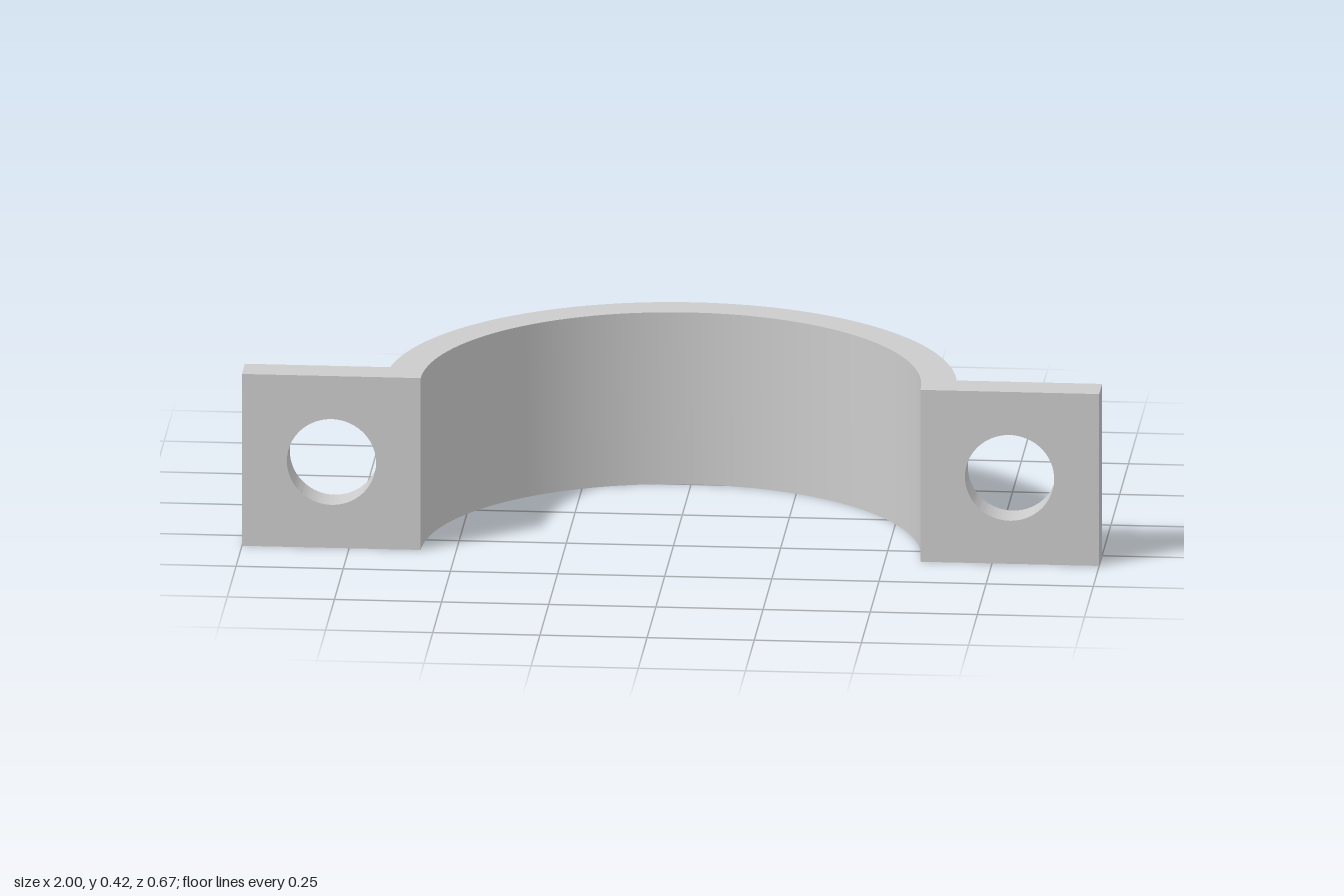
import * as THREE from 'three';
import { toCreasedNormals } from 'three/addons/utils/BufferGeometryUtils.js';

const HEIGHT = 0.417;
const THICK = 0.083;
const FRONT = 0.333;              // z of the flat mounting face
const R_OUT = 0.666;
const R_IN = R_OUT - THICK;
const JOIN = Math.sqrt(R_OUT ** 2 - THICK ** 2); // x where the band meets a tab

const material = new THREE.MeshStandardMaterial({ color: 0xcccccc });

function extrude(shape, depth) {
  const geometry = new THREE.ExtrudeGeometry(shape, { depth, bevelEnabled: false, curveSegments: 64 });
  return toCreasedNormals(geometry, 0.5);
}

// Half-ring band, squared off at its feet where the tabs attach
function createBand() {
  const start = Math.asin(THICK / R_OUT);
  const shape = new THREE.Shape();
  shape.moveTo(R_IN, 0);
  shape.lineTo(JOIN, 0);
  shape.lineTo(JOIN, THICK);
  shape.absarc(0, 0, R_OUT, start, Math.PI - start, false);
  shape.lineTo(-JOIN, 0);
  shape.lineTo(-R_IN, 0);
  shape.absarc(0, 0, R_IN, Math.PI, 0, true);
  const geometry = extrude(shape, HEIGHT);
  geometry.rotateX(-Math.PI / 2);
  geometry.translate(0, 0, FRONT);
  const band = new THREE.Mesh(geometry, material);
  band.name = 'clampBand';
  return band;
}

// Flat mounting tab with a bolt hole
function createTab(side, name) {
  const shape = new THREE.Shape();
  const x0 = Math.min(side * JOIN, side);
  const x1 = Math.max(side * JOIN, side);
  shape.moveTo(x0, 0);
  shape.lineTo(x1, 0);
  shape.lineTo(x1, HEIGHT);
  shape.lineTo(x0, HEIGHT);
  shape.closePath();
  const hole = new THREE.Path();
  hole.absarc(side * 0.791, HEIGHT / 2, 0.104, 0, Math.PI * 2, true);
  shape.holes.push(hole);
  const geometry = extrude(shape, THICK);
  geometry.translate(0, 0, FRONT - THICK);
  const tab = new THREE.Mesh(geometry, material);
  tab.name = name;
  return tab;
}

export function createModel() {
  const group = new THREE.Group();
  group.name = 'pipeClamp';
  group.add(createBand(), createTab(1, 'leftTab'), createTab(-1, 'rightTab'));
  return group;
}
